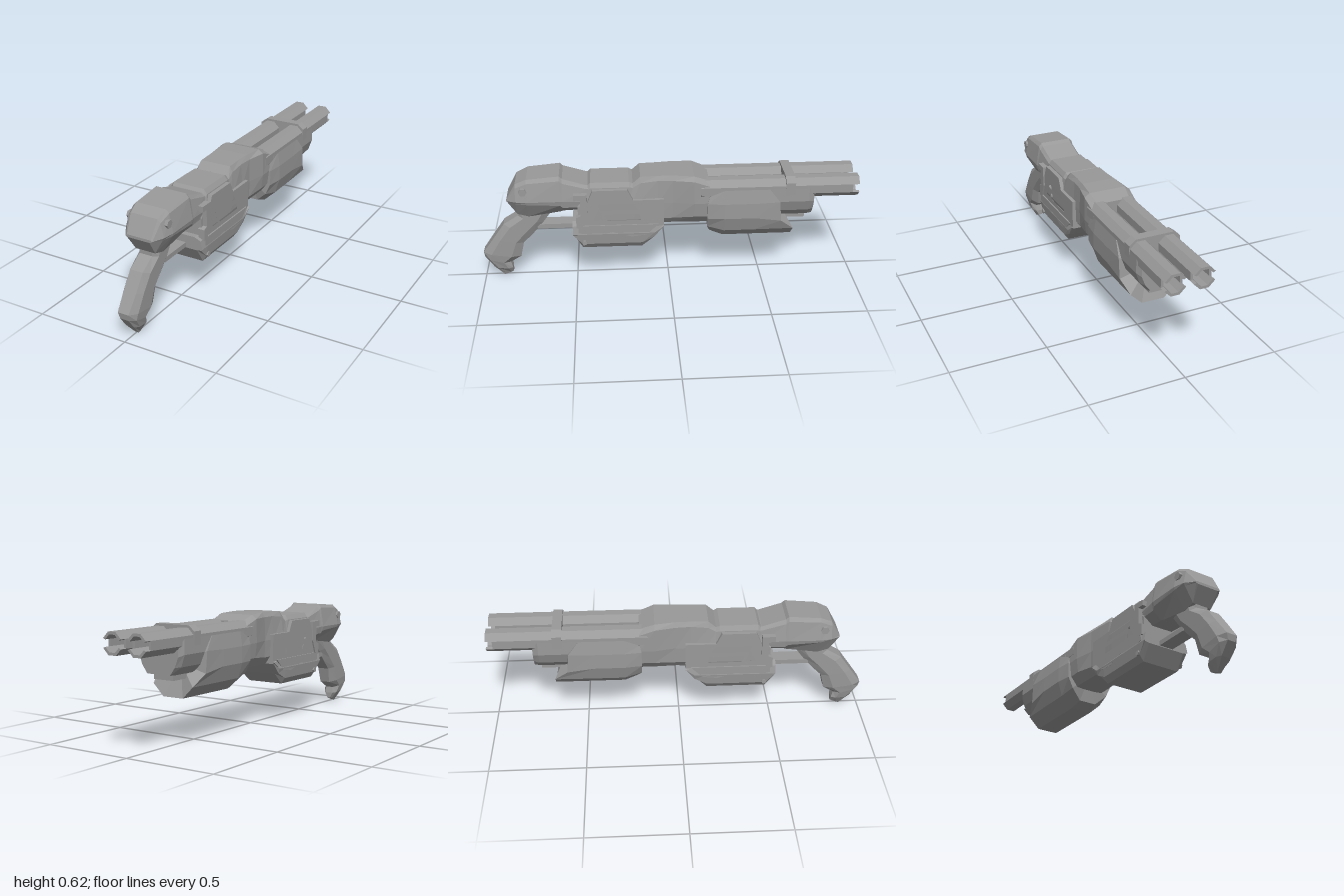
import * as THREE from 'three';

const grey = new THREE.MeshStandardMaterial({ color: 0x999999 });
grey.name = 'gunmetal grey';

const at = (z, pts) => pts.map(([x, y]) => [x, y, z]);

// Skin mirrored half cross-sections [x, y, z]; facets stay flat
function loft(halves) {
  const rings = halves.map(h => [...h, ...h.slice().reverse().map(([x, y, z]) => [-x, y, z])]);
  const n = rings[0].length, pos = [];
  const tri = (...p) => p.forEach(v => pos.push(...v));
  for (let i = 0; i < rings.length - 1; i++)
    for (let j = 0; j < n; j++) {
      const k = (j + 1) % n;
      const a = rings[i][j], b = rings[i][k], c = rings[i + 1][k], d = rings[i + 1][j];
      tri(a, d, c);
      tri(a, c, b);
    }
  const mid = r => [0, 1, 2].map(q => r.reduce((s, p) => s + p[q], 0) / n);
  const first = rings[0], last = rings[rings.length - 1];
  for (let j = 0; j < n; j++) {
    const k = (j + 1) % n;
    tri(mid(first), first[j], first[k]);
    tri(mid(last), last[k], last[j]);
  }
  const g = new THREE.BufferGeometry();
  g.setAttribute('position', new THREE.Float32BufferAttribute(pos, 3));
  g.computeVertexNormals();
  return g;
}

const extrude = (shape, depth) => new THREE.ExtrudeGeometry(shape, { depth, bevelEnabled: false });
const poly = pts => new THREE.Shape(pts.map(p => new THREE.Vector2(...p)));
const sideShape = pts => poly(pts.map(([z, y]) => [-z, y]));

export function createModel() {
  const root = new THREE.Group();
  const add = (name, g, x = 0, y = 0, z = 0) => {
    const m = new THREE.Mesh(g, grey);
    m.name = name;
    m.position.set(x, y, z);
    root.add(m);
    return m;
  };
  // Side plates drawn as [z, y] outlines, one on each flank
  const flank = (name, shape, x0, depth) => {
    const g = extrude(shape, depth).rotateY(Math.PI / 2);
    add(name + 'Left', g, x0);
    add(name + 'Right', g, -x0 - depth);
  };

  // Main receiver
  add('receiver', loft([
    at(-0.21, [[0.09, 0.575], [0.125, 0.555], [0.13, 0.46], [0.12, 0.38], [0.08, 0.33]]),
    at(-0.13, [[0.1, 0.605], [0.128, 0.585], [0.13, 0.46], [0.12, 0.38], [0.08, 0.33]]),
    at(-0.02, [[0.09, 0.61], [0.105, 0.585], [0.108, 0.46], [0.105, 0.37], [0.075, 0.33]]),
    at(0.06, [[0.085, 0.608], [0.1, 0.585], [0.11, 0.46], [0.108, 0.37], [0.08, 0.33]]),
    at(0.15, [[0.085, 0.605], [0.1, 0.575], [0.113, 0.48], [0.11, 0.37], [0.1, 0.33]]),
    at(0.19, [[0.085, 0.57], [0.1, 0.55], [0.113, 0.48], [0.112, 0.37], [0.1, 0.32]]),
    at(0.21, [[0.088, 0.58], [0.104, 0.555], [0.113, 0.48], [0.112, 0.37], [0.1, 0.32]]),
    at(0.41, [[0.088, 0.58], [0.104, 0.555], [0.113, 0.48], [0.112, 0.37], [0.1, 0.32]]),
    at(0.43, [[0.085, 0.56], [0.1, 0.54], [0.113, 0.48], [0.112, 0.37], [0.1, 0.32]]),
    at(0.48, [[0.085, 0.5], [0.1, 0.48], [0.112, 0.45], [0.112, 0.37], [0.1, 0.32]]),
  ]));

  // Rear housing above the grip
  add('rearHousing', loft([
    at(0.41, [[0.085, 0.565], [0.1, 0.55], [0.108, 0.48], [0.105, 0.45], [0.06, 0.42]]),
    at(0.43, [[0.085, 0.566], [0.1, 0.55], [0.11, 0.48], [0.106, 0.45], [0.06, 0.415]]),
    at(0.555, [[0.085, 0.605], [0.1, 0.585], [0.117, 0.49], [0.11, 0.45], [0.06, 0.41]]),
    at(0.57, [[0.085, 0.62], [0.102, 0.6], [0.12, 0.49], [0.115, 0.465], [0.06, 0.405]]),
    at(0.74, [[0.083, 0.605], [0.1, 0.588], [0.12, 0.49], [0.116, 0.475], [0.06, 0.38]]),
    at(0.8, [[0.075, 0.578], [0.09, 0.56], [0.108, 0.488], [0.1, 0.475], [0.055, 0.395]]),
    at(0.85, [[0.066, 0.488], [0.07, 0.486], [0.075, 0.482], [0.07, 0.478], [0.06, 0.474]]),
  ]));

  // Curved grip: [back z, back y, front z, front y, half width, spine half width]
  add('grip', loft([
    [0.8, 0.42, 0.6, 0.425, 0.056, 0.035],
    [0.8, 0.375, 0.67, 0.33, 0.056, 0.035],
    [0.88, 0.325, 0.725, 0.265, 0.056, 0.035],
    [0.94, 0.24, 0.78, 0.21, 0.056, 0.035],
    [1.0, 0.155, 0.8, 0.125, 0.055, 0.03],
    [0.995, 0.122, 0.86, 0.085, 0.05, 0.022],
    [0.95, 0.06, 0.85, 0.05, 0.04, 0.025],
    [0.9, 0.0, 0.85, 0.02, 0.013, 0.01],
  ].map(([bz, by, fz, fy, w, s]) => [[s, 0], [w, 0.22], [w, 0.75], [s, 1]]
    .map(([x, t]) => [x, by + (fy - by) * t, bz + (fz - bz) * t]))));
  add('triggerGuard', new THREE.BoxGeometry(0.08, 0.025, 0.24), 0, 0.307, 0.58);

  // Lower box under the receiver
  const box = (z, bottom) => at(z, [[0.09, 0.36], [0.125, 0.345], [0.135, Math.max(0.3, bottom + 0.008)],
    [0.128, Math.max(0.24, bottom + 0.004)], [0.105, bottom]]);
  add('lowerBox', loft([box(0.03, 0.33), box(0.08, 0.27), box(0.145, 0.208), box(0.46, 0.208), box(0.51, 0.29)]));

  // Slotted side plates
  const plate = sideShape([[0.48, 0.33], [0.46, 0.42], [0.43, 0.48], [0.4, 0.55], [0.22, 0.55],
    [0.19, 0.49], [0.03, 0.49], [0.03, 0.33]]);
  [
    [[0.38, 0.47], [0.19, 0.47], [0.165, 0.437], [0.36, 0.437]],
    [[0.34, 0.41], [0.155, 0.41], [0.15, 0.375], [0.325, 0.375]],
    [[0.4, 0.38], [0.37, 0.445], [0.35, 0.38]],
  ].forEach(h => plate.holes.push(new THREE.Path(h.map(([z, y]) => new THREE.Vector2(-z, y)))));
  flank('sidePlate', plate, 0.1, 0.027);
  flank('rearBracket', sideShape([[0.5, 0.53], [0.5, 0.5], [0.465, 0.5], [0.465, 0.41], [0.49, 0.4],
    [0.49, 0.34], [0.46, 0.34], [0.43, 0.42], [0.43, 0.53]]), 0.1, 0.035);
  flank('lowerTrim', sideShape([[0.48, 0.35], [0.48, 0.31], [0.4, 0.29], [0.3, 0.31], [0.2, 0.28],
    [0.12, 0.29], [0.06, 0.35]]), 0.11, 0.024);

  // Pins
  for (const s of [1, -1]) {
    const pin = (name, r, x, y, z) =>
      add(name, new THREE.CylinderGeometry(r, r, 0.03, 6).toNonIndexed().rotateZ(Math.PI / 2), s * x, y, z)
        .geometry.computeVertexNormals();
    pin('housingPin', 0.022, 0.1, 0.545, 0.76);
    pin('boxPin', 0.014, 0.122, 0.25, 0.45);
  }

  // Twin octagonal barrels with notched muzzles
  const oct = r => Array.from({ length: 8 }, (_, k) => {
    const a = Math.PI / 8 + k * Math.PI / 4;
    return [r * Math.cos(a), r * Math.sin(a)];
  });
  const outer = oct(0.0595), inner = oct(0.045);
  const tube = poly(outer);
  tube.holes.push(new THREE.Path(inner.map(p => new THREE.Vector2(...p))));
  for (const x of [0.075, -0.075]) {
    add('barrel', extrude(tube, 0.8), x, 0.525, -0.965);
    add('borePlug', extrude(poly(oct(0.05)), 0.02), x, 0.525, -0.8);
    for (const k of [0, 4])
      add('muzzleLip', extrude(poly([...outer.slice(k, k + 4), ...inner.slice(k, k + 4).reverse()]), 0.035),
        x, 0.525, -1);
  }
  add('barrelRib', new THREE.BoxGeometry(0.06, 0.02, 0.72), 0, 0.495, -0.55);
  const band = [[0.1, 0.592], [0.135, 0.565], [0.135, 0.49], [0.1, 0.465]];
  add('barrelBand', loft([at(-0.66, band), at(-0.61, band)]));

  // Fore-end core cradling the barrels
  const core = [[0.02, 0.46], [0.126, 0.47], [0.134, 0.535], [0.136, 0.46], [0.115, 0.4], [0.08, 0.36]];
  add('foreEndCore', loft([
    at(-0.765, [[0.02, 0.46], [0.115, 0.465], [0.12, 0.487], [0.12, 0.45], [0.1, 0.4], [0.07, 0.36]]),
    at(-0.735, core),
    at(-0.25, core),
  ]));
  add('foreEndStep', new THREE.BoxGeometry(0.12, 0.06, 0.2), 0, 0.36, -0.63);

  // Sliding pump shell
  const shell = [[0.02, 0.45], [0.128, 0.46], [0.138, 0.535], [0.15, 0.46], [0.15, 0.375], [0.125, 0.295], [0.06, 0.235]];
  add('pumpShell', loft([
    [[0.02, 0.44, -0.58], [0.128, 0.46, -0.575], [0.138, 0.535, -0.525], [0.15, 0.465, -0.58],
      [0.148, 0.355, -0.59], [0.122, 0.295, -0.66], [0.06, 0.235, -0.66]],
    at(-0.45, shell),
    at(-0.29, shell),
    [[0.02, 0.45, -0.2], [0.12, 0.46, -0.2], [0.132, 0.5, -0.21], [0.14, 0.46, -0.2],
      [0.138, 0.375, -0.2], [0.11, 0.315, -0.2], [0.05, 0.26, -0.22]],
  ]));

  return root;
}
